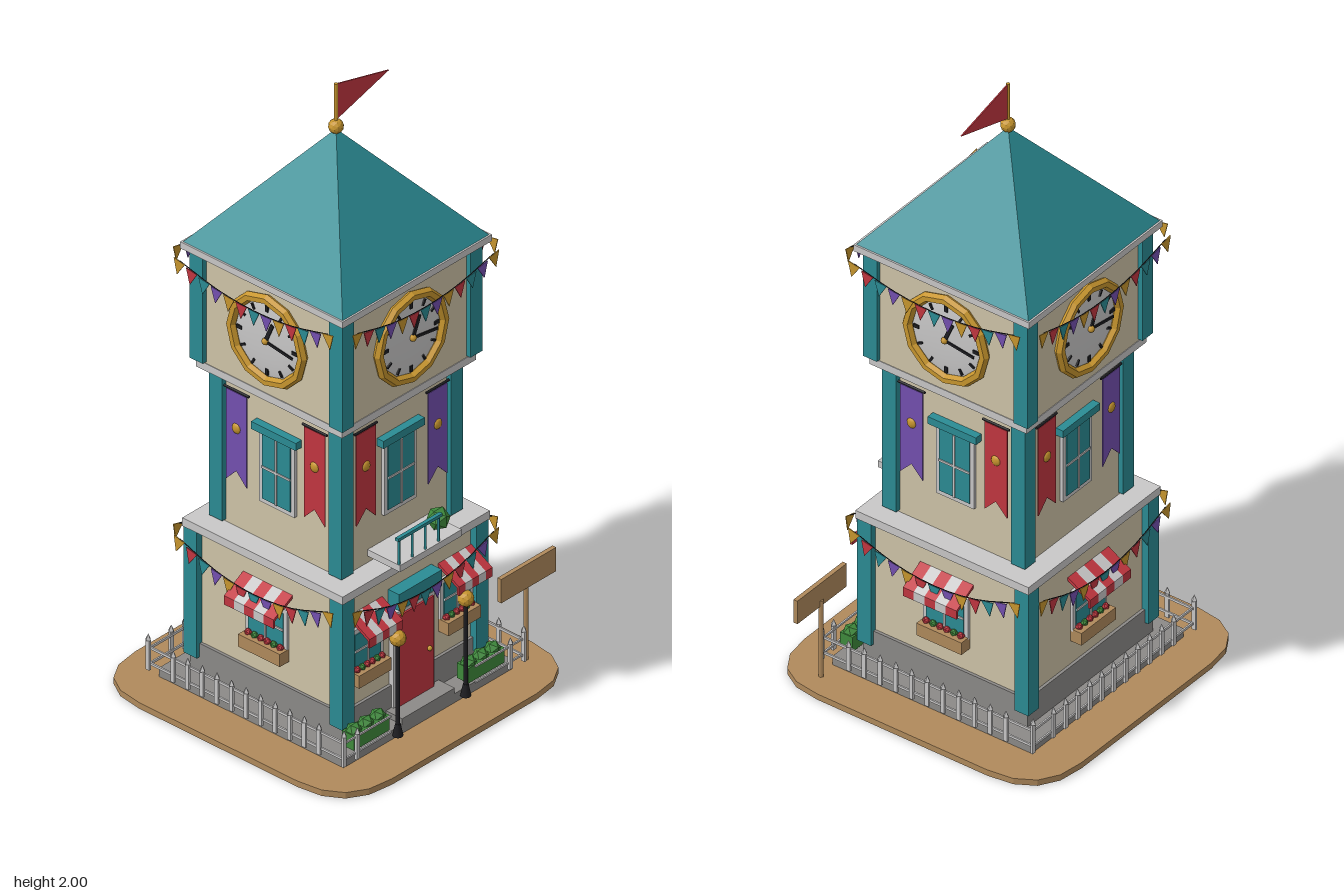
import * as THREE from 'three';

const mat = (name, color) => Object.assign(new THREE.MeshStandardMaterial({ color }), { name });
const M = {
  teal: mat('teal', 0x2b8c94), wall: mat('cream plaster', 0xcfc4a8), wood: mat('wood', 0xb08a5c),
  red: mat('red', 0xc23640), stone: mat('stone grey', 0x8c8a88), light: mat('pale grey', 0xc9c8c8),
  gold: mat('gold', 0xc8962e), green: mat('leaf green', 0x3f8a3c), purple: mat('purple', 0x7450b0),
  black: mat('black', 0x1e1e22),
};

function add(parent, name, geo, m, x = 0, y = 0, z = 0) {
  const mesh = new THREE.Mesh(geo, m);
  mesh.name = name;
  mesh.position.set(x, y, z);
  parent.add(mesh);
  return mesh;
}
const box = (p, name, m, w, h, d, x, y, z) => add(p, name, new THREE.BoxGeometry(w, h, d), m, x, y, z);
const rod = (p, name, m, r, h, x, y, z) => add(p, name, new THREE.CylinderGeometry(r, r, h, 6), m, x, y, z);
// Faceted version of a geometry
function facet(geo) {
  const g = geo.index ? geo.toNonIndexed() : geo;
  g.computeVertexNormals();
  return g;
}
function group(parent, name) {
  const g = new THREE.Group();
  g.name = name;
  parent.add(g);
  return g;
}
// Thin plate cut from an outline of [x, y] points
function plate(points, depth = 0.004) {
  const s = new THREE.Shape(points.map(([x, y]) => new THREE.Vector2(x, y)));
  return new THREE.ExtrudeGeometry(s, { depth, bevelEnabled: false });
}

// One storey: walls, corner posts and the slab on top
function storey(p, name, half, wallHalf, y0, y1, postY0, slabHalf, slabTop) {
  const g = group(p, name);
  box(g, 'walls', M.wall, wallHalf * 2, y1 - y0, wallHalf * 2, 0, (y0 + y1) / 2, 0);
  for (const sx of [-1, 1]) for (const sz of [-1, 1])
    box(g, 'cornerPost', M.teal, 0.05, y1 - postY0, 0.05, sx * (half - 0.025), (postY0 + y1) / 2, sz * (half - 0.025));
  box(g, 'cornice', M.light, slabHalf * 2, slabTop - y1, slabHalf * 2, 0, (y1 + slabTop) / 2, 0);
}

// Framed window with a cross of glazing bars
function windowPart(p, x, y, z, w, h) {
  const g = group(p, 'window');
  g.position.set(x, y, z);
  box(g, 'frame', M.light, w, h, 0.02, 0, 0, 0);
  box(g, 'glass', M.teal, w - 0.026, h - 0.03, 0.004, 0, 0, 0.011);
  box(g, 'uprightBar', M.light, 0.007, h - 0.03, 0.004, 0, 0, 0.014);
  box(g, 'crossBar', M.light, w - 0.026, 0.007, 0.004, 0, 0, 0.014);
}

// Striped awning with a hanging edge
function awning(p, x, w) {
  const g = group(p, 'awning');
  const n = 5, s = w / n;
  for (let i = 0; i < n; i++) {
    const m = i % 2 ? M.light : M.red;
    const geo = plate([[0.285, 0.455], [0.365, 0.41], [0.365, 0.38], [0.358, 0.38], [0.358, 0.403], [0.285, 0.444]], s);
    geo.rotateY(-Math.PI / 2);
    add(g, 'stripe', geo, m, x - w / 2 + (i + 1) * s, 0, 0);
  }
}

// Flower box below a window
function flowerBox(p, x, w) {
  const g = group(p, 'flowerBox');
  box(g, 'trough', M.wood, w, 0.042, 0.045, x, 0.246, 0.3);
  for (let i = 0; i < 6; i++)
    add(g, 'flower', facet(new THREE.IcosahedronGeometry(0.012, 0)), i % 3 === 1 ? M.green : M.red,
      x + (i - 2.5) * w / 6.5, 0.272, 0.3);
}

// String of pennants
function bunting(p, yEnd, sag) {
  const g = group(p, 'bunting');
  const colours = [M.gold, M.red, M.teal, M.purple];
  const at = (t) => new THREE.Vector3(t * 0.285, yEnd - sag * (1 - t * t), 0.343);
  for (let i = 0; i < 13; i++) {
    const t = (i - 6) / 6, c = at(t), w = 0.021;
    const flag = add(g, 'pennant', plate([[-w, 0], [0, -0.048], [w, 0]], 0.003), colours[i % 4], c.x, c.y, c.z);
    flag.rotation.z = t * sag * 4;
  }
  const line = new THREE.CatmullRomCurve3([-1, -0.5, 0, 0.5, 1].map(at));
  add(g, 'string', new THREE.TubeGeometry(line, 12, 0.002, 4), M.black);
}

function clock(p) {
  const g = group(p, 'clock');
  g.position.set(0, 1.273, 0.28);
  const dial = add(g, 'dial', new THREE.SphereGeometry(0.132, 24, 12), M.light);
  dial.scale.z = 0.09;
  add(g, 'rim', facet(new THREE.TorusGeometry(0.137, 0.016, 6, 12)), M.gold, 0, 0, 0.008);
  for (let i = 0; i < 12; i++) {
    const a = i * Math.PI / 6, r = 0.106;
    const tick = box(g, 'hourMark', M.black, i % 3 ? 0.007 : 0.011, 0.02, 0.005, Math.sin(a) * r, Math.cos(a) * r, 0.009);
    tick.rotation.z = -a;
  }
  for (const [name, a, len, w] of [['hourHand', 0.4, 0.07, 0.012], ['minuteHand', 1.72, 0.105, 0.008]]) {
    const hand = box(g, name, M.black, w, len, 0.004, Math.sin(a) * len / 2, Math.cos(a) * len / 2, 0.016);
    hand.rotation.z = -a;
  }
  add(g, 'hub', new THREE.SphereGeometry(0.011, 8, 6), M.gold, 0, 0, 0.016);
}

// Swallow-tailed banner hung from a rod
function banner(p, x, m) {
  const g = group(p, 'banner');
  add(g, 'cloth', plate([[-0.04, 0.71], [0, 0.752], [0.04, 0.71], [0.04, 1.015], [-0.04, 1.015]]), m, x, 0, 0.25);
  rod(g, 'rod', M.black, 0.004, 0.095, x, 1.02, 0.252).rotation.z = Math.PI / 2;
  add(g, 'badge', new THREE.SphereGeometry(0.017, 8, 6), M.gold, x, 0.895, 0.253).scale.z = 0.5;
}

function picket(p, x, z, h) {
  box(p, 'picket', M.light, 0.014, h, 0.008, x, 0.045 + h / 2, z);
  add(p, 'picketTip', facet(new THREE.ConeGeometry(0.01, 0.02, 4)), M.light, x, 0.055 + h, z);
}

export function createModel() {
  const root = new THREE.Group();
  root.name = 'clockTower';
  const tower = group(root, 'tower');
  tower.position.x = -0.02;

  // Ground and plinth
  const a = 0.493, c = 0.19, s = new THREE.Shape();
  s.moveTo(-a + c, -a);
  for (const [x, y] of [[1, -1], [1, 1], [-1, 1], [-1, -1]]) {
    const alongX = x * y < 0;
    const p1 = alongX ? [x * (a - c), y * a] : [x * a, y * (a - c)];
    const p2 = alongX ? [x * a, y * (a - c)] : [x * (a - c), y * a];
    s.lineTo(...p1);
    s.quadraticCurveTo(x * a, y * a, ...p2);
  }
  const ground = new THREE.ExtrudeGeometry(s, { depth: 0.02, bevelEnabled: false, curveSegments: 4 });
  add(tower, 'ground', ground.rotateX(-Math.PI / 2), M.wood);
  box(tower, 'plinth', M.stone, 0.708, 0.03, 0.708, 0, 0.035, 0);
  box(tower, 'stoneFooting', M.stone, 0.585, 0.1, 0.585, 0, 0.095, 0);

  // Storeys and roof
  storey(tower, 'groundFloor', 0.305, 0.283, 0.05, 0.525, 0.1, 0.308, 0.552);
  storey(tower, 'middleFloor', 0.254, 0.237, 0.552, 1.06, 0.56, 0.28, 1.085);
  storey(tower, 'clockFloor', 0.293, 0.278, 1.085, 1.458, 1.09, 0.312, 1.48);
  const roof = new THREE.ConeGeometry(0.308 * Math.SQRT2, 0.37, 4).rotateY(Math.PI / 4);
  add(tower, 'roof', facet(roof), M.teal, 0, 1.663, 0);
  add(tower, 'finial', facet(new THREE.IcosahedronGeometry(0.023, 1)), M.gold, 0, 1.857, 0);
  rod(tower, 'flagPole', M.gold, 0.006, 0.15, 0, 1.925, 0);
  add(tower, 'flag', plate([[0.004, 1.88], [0.22, 1.942], [0.004, 1.998]]), M.red, 0, 0, -0.002);

  // Details repeated on the four faces
  for (let i = 0; i < 4; i++) {
    const f = group(tower, ['frontFace', 'leftFace', 'backFace', 'rightFace'][i]);
    f.rotation.y = i * Math.PI / 2;
    clock(f);
    bunting(f, 1.442, 0.045);
    bunting(f, 0.508, 0.065);
    windowPart(f, 0, 0.808, 0.238, 0.135, 0.245);
    box(f, 'lintel', M.teal, 0.172, 0.025, 0.03, 0, 0.938, 0.247);
    banner(f, -0.15, i % 2 ? M.purple : M.red);
    banner(f, 0.15, i % 2 ? M.red : M.purple);
    for (const x of i ? [0] : [-0.187, 0.187]) {
      const w = i ? 0.16 : 0.135;
      windowPart(f, x, 0.33, 0.282, w, 0.14);
      awning(f, x, i ? 0.19 : 0.14);
      flowerBox(f, x, w);
    }
    // Fence on the sides and back, short returns at the front
    const fence = group(f, 'fence');
    if (i) {
      for (let k = -5; k <= 5; k++) picket(fence, k * 0.056, 0.376, 0.085);
      for (const y of [0.065, 0.118]) box(fence, 'rail', M.light, 0.752, 0.008, 0.005, 0, y, 0.372);
    } else for (const sx of [-1, 1]) {
      picket(fence, sx * 0.32, 0.376, 0.085);
      for (const y of [0.065, 0.118]) box(fence, 'rail', M.light, 0.2, 0.006, 0.005, sx * 0.276, y, 0.372);
    }
    picket(fence, -0.376, 0.376, 0.1);
  }

  // Front door
  const door = group(tower, 'door');
  box(door, 'frame', M.light, 0.172, 0.325, 0.03, 0, 0.222, 0.285);
  box(door, 'leaf', M.red, 0.153, 0.305, 0.02, 0, 0.222, 0.296);
  box(door, 'lintel', M.teal, 0.18, 0.055, 0.05, 0, 0.437, 0.3);
  add(door, 'knob', new THREE.SphereGeometry(0.008, 8, 6), M.gold, 0.055, 0.21, 0.31);
  box(door, 'step', M.stone, 0.22, 0.02, 0.07, 0, 0.06, 0.32);

  // Balcony with railing and shrub
  const balcony = group(tower, 'balcony');
  box(balcony, 'floor', M.light, 0.258, 0.022, 0.125, 0, 0.587, 0.302);
  box(balcony, 'handrail', M.teal, 0.185, 0.01, 0.012, -0.042, 0.684, 0.357);
  for (let k = 0; k < 4; k++) rod(balcony, 'baluster', M.teal, 0.004, 0.088, -0.125 + k * 0.055, 0.64, 0.357);
  add(balcony, 'shrub', facet(new THREE.IcosahedronGeometry(0.036, 0)), M.green, 0.085, 0.635, 0.315);

  // Lamps and hedges either side of the door
  for (const sx of [-1, 1]) {
    const lamp = group(tower, 'lamp');
    lamp.position.set(sx * 0.142, 0, 0.368);
    rod(lamp, 'post', M.black, 0.007, 0.31, 0, 0.19, 0);
    add(lamp, 'foot', new THREE.CylinderGeometry(0.008, 0.016, 0.04, 8), M.black, 0, 0.055, 0);
    add(lamp, 'globe', facet(new THREE.IcosahedronGeometry(0.025, 1)), M.gold, 0, 0.362, 0);
    const hedge = group(tower, 'hedge');
    box(hedge, 'hedgeBody', M.green, 0.15, 0.05, 0.045, sx * 0.24, 0.085, 0.335);
    for (let k = -1; k <= 1; k++)
      add(hedge, 'leaves', facet(new THREE.IcosahedronGeometry(0.026, 0)), M.green, sx * 0.24 + k * 0.05, 0.108, 0.335);
  }

  // Signboard
  const sign = group(tower, 'signboard');
  rod(sign, 'post', M.wood, 0.008, 0.27, 0.417, 0.15, 0.347);
  box(sign, 'board', M.wood, 0.23, 0.08, 0.014, 0.415, 0.306, 0.352);
  return root;
}
